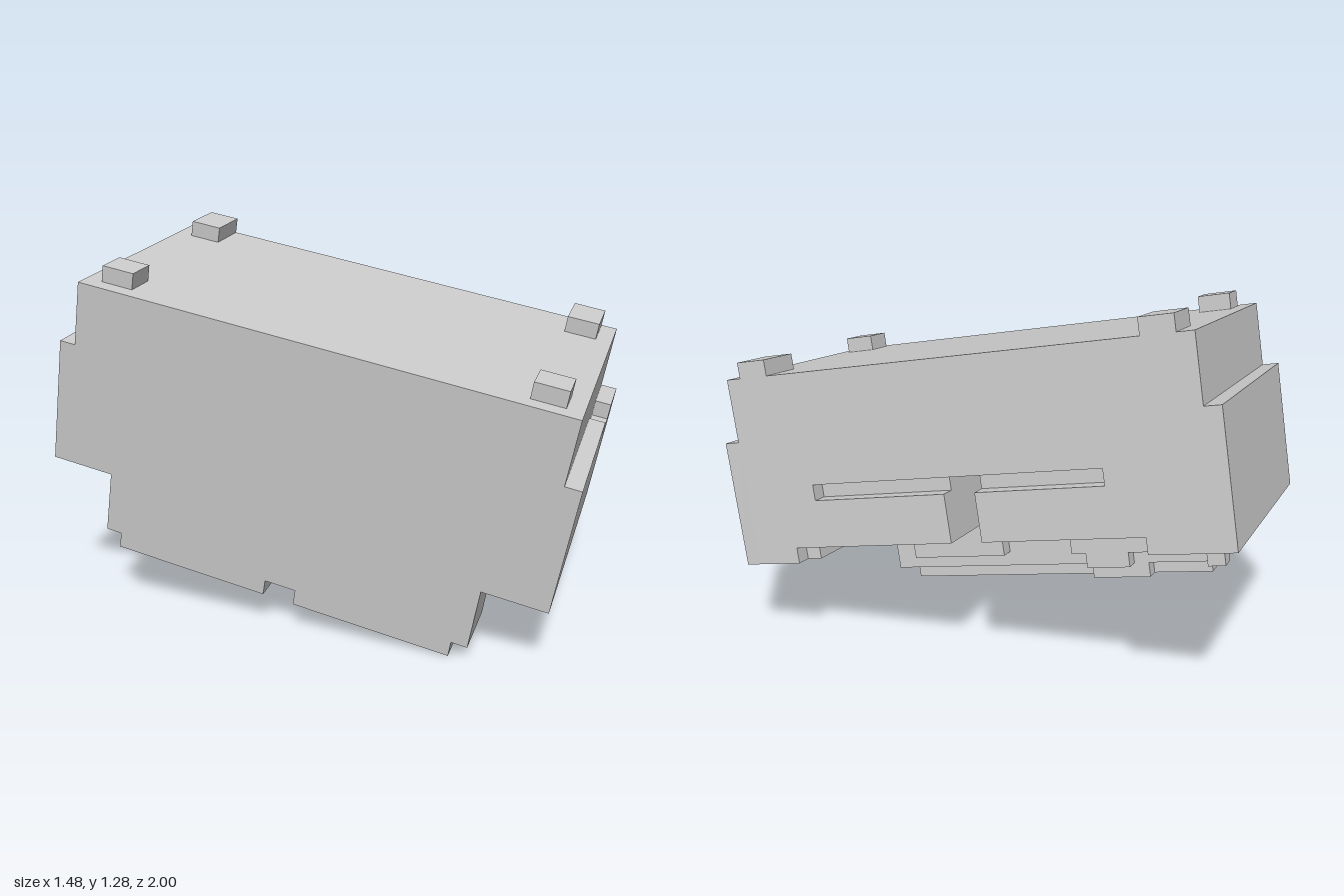
import * as THREE from 'three';

// Everything sits on a small grid: i = across, j = back to front, k = up.
const S = 0.0547;
const X0 = -0.393, Y0 = 0.126, Z0 = -0.99;
const material = new THREE.MeshStandardMaterial({ color: 0xcccccc, flatShading: true });

function addMesh(parent, name, geometry) {
  const mesh = new THREE.Mesh(geometry, material);
  mesh.name = name;
  parent.add(mesh);
}

// Side profile in (j, k), extruded across from i0 to i1.
function slab(parent, name, i0, i1, points) {
  const shape = new THREE.Shape(points.map(([j, k]) => new THREE.Vector2(-j, k)));
  const g = new THREE.ExtrudeGeometry(shape, { depth: i1 - i0, bevelEnabled: false });
  g.rotateY(Math.PI / 2).translate(i0, 0, 0);
  addMesh(parent, name, g);
}

// Box between grid lines.
function block(parent, name, i0, i1, j0, j1, k0, k1) {
  const g = new THREE.BoxGeometry(i1 - i0, k1 - k0, j1 - j0);
  g.translate((i0 + i1) / 2, (k0 + k1) / 2, (j0 + j1) / 2);
  addMesh(parent, name, g);
}

// Body cross-section: common top, with the given underside from back to front.
const section = (underside) => [[1, 17], [1, 5], ...underside, [31, 5], [31, 17]];

export function createModel() {
  const model = new THREE.Group();
  model.name = 'model';
  const body = new THREE.Group();
  body.name = 'body';

  // Right wall with long slot, central channel and open recess
  slab(body, 'slottedWall', 15, 16, section([
    [5, 5], [5, 6], [15, 6], [15, 9], [7, 9], [7, 10], [26, 10], [26, 9],
    [17, 9], [17, 6], [28, 6], [28, 5]]));

  // Main body above the recess
  slab(body, 'mainBody', 5, 15, section([
    [5, 5], [5, 6], [15, 6], [15, 10], [17, 10], [17, 6], [27, 6], [27, 5]]));

  // Stepped panels hanging on the inner face of the lower rail
  slab(body, 'steppedPanels', 4, 5, section([
    [5, 5], [6, 5], [6, 2], [10, 2], [10, 1], [13, 1], [13, 2], [14, 2], [14, 3],
    [15, 3], [15, 10], [17, 10], [17, 4], [18, 4], [18, 3], [19, 3], [19, 2],
    [26, 2], [26, 3], [27, 3], [27, 5]]));

  // Lower rail in three layers, notched on the outside
  slab(body, 'railInner', 3, 4, section([
    [4, 5], [4, 1], [9, 1], [9, 0], [13, 0], [13, 1], [28, 1], [28, 5]]));
  slab(body, 'railMiddle', 2, 3, section([
    [4, 5], [4, 1], [5, 1], [5, 0], [27, 0], [27, 1], [28, 1], [28, 5]]));
  slab(body, 'railOuter', 0, 2, section([
    [4, 5], [4, 1], [5, 1], [5, 0], [15, 0], [15, 1], [17, 1], [17, 0],
    [27, 0], [27, 1], [28, 1], [28, 5]]));

  // Front plate with a notch in its top edge
  const plate = new THREE.Shape([
    [0, 5], [16, 5], [16, 13], [13, 13], [13, 12], [10, 12], [10, 13], [0, 13],
  ].map(([i, k]) => new THREE.Vector2(i, k)));
  const plateGeometry = new THREE.ExtrudeGeometry(plate, { depth: 1, bevelEnabled: false });
  addMesh(body, 'frontPlate', plateGeometry.translate(0, 0, 31));

  // Back plate and the small peg under it
  block(body, 'backPlate', 0, 16, 0, 1, 5, 13);
  block(body, 'peg', 14, 15, 1, 2, 4, 5);

  // Four studs on top, the right pair wider
  for (const j of [2, 28]) {
    block(body, 'narrowStud', 1, 3, j, j + 2, 17, 18);
    block(body, 'wideStud', 13, 16, j, j + 2, 17, 18);
  }

  // Grid to model units, then tilt the whole piece
  body.scale.setScalar(S);
  body.position.set(X0, Y0, Z0);
  const tilt = new THREE.Group();
  tilt.name = 'tiltedBody';
  tilt.add(body);
  tilt.rotation.set(0.199, 0.396, 0);
  model.add(tilt);
  return model;
}
